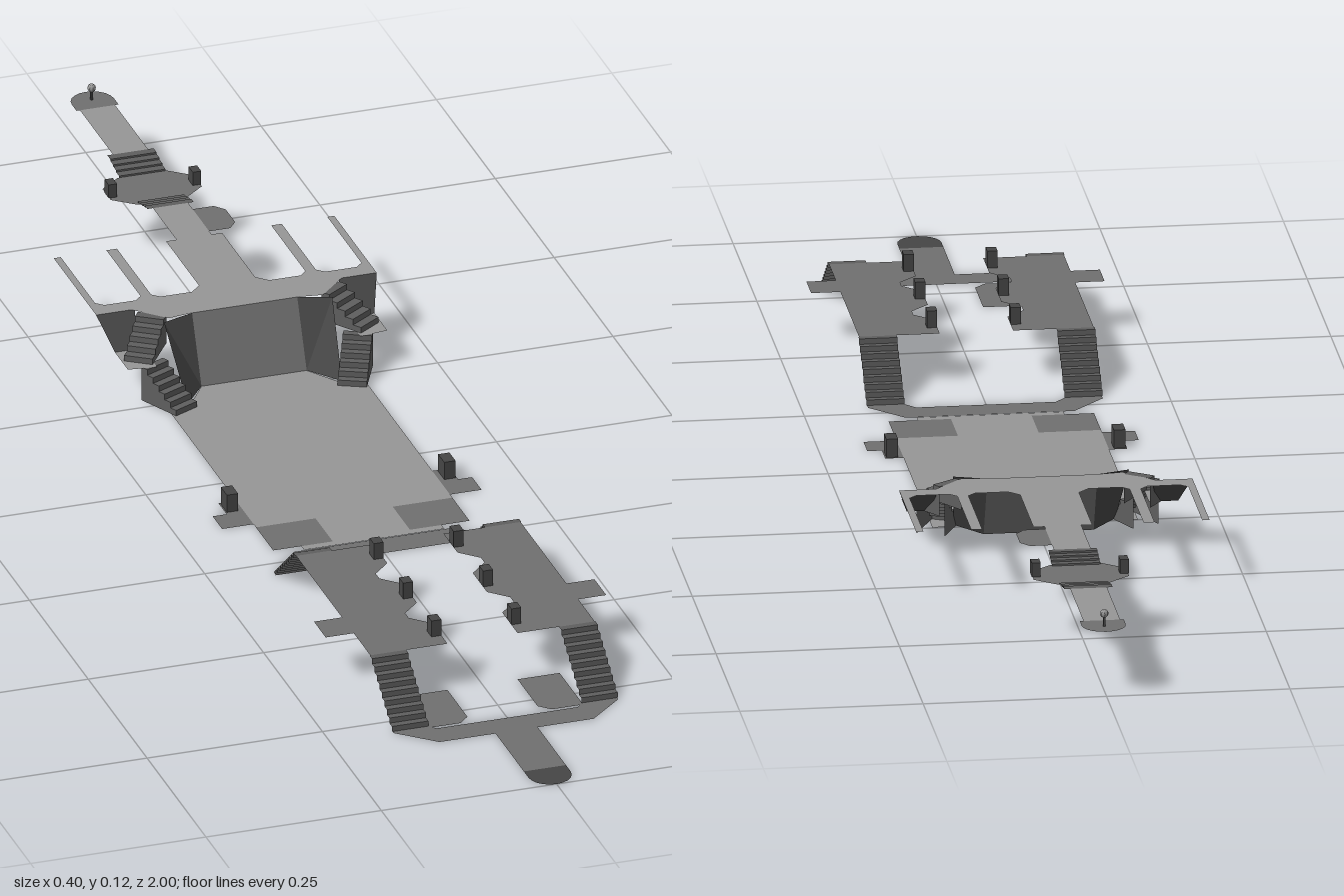
import * as THREE from 'three';

const LOW = 0.03, MID = 0.1, WING = 0.08, TOP = 0.122, DIP = 0.112;

export function createModel() {
  const model = new THREE.Group();
  const paint = color => new THREE.MeshStandardMaterial({ color, flatShading: true, side: THREE.DoubleSide });
  const light = paint(0x969696), mid = paint(0x6f6f6f), step = paint(0x5e5e5e), dark = paint(0x464646);

  const add = (name, mat, geo) => {
    const mesh = new THREE.Mesh(geo, mat);
    mesh.name = name;
    model.add(mesh);
    return mesh;
  };

  // Horizontal sheet from [x, z] outline points
  const sheet = (name, mat, pts, y) => {
    const shape = new THREE.Shape(pts.map(([x, z]) => new THREE.Vector2(x, -z)));
    const geo = new THREE.ShapeGeometry(shape);
    geo.rotateX(-Math.PI / 2);
    geo.translate(0, y, 0);
    return add(name, mat, geo);
  };
  const mirrored = half => [...half, ...half.map(([x, z]) => [-x, z]).reverse()];
  const rect = (x0, x1, z0, z1) => [[x0, z1], [x1, z1], [x1, z0], [x0, z0]];

  // Surface made of four-cornered panels
  const panels = (name, mat, quads) => {
    const pos = [];
    for (const [a, b, c, d] of quads) pos.push(...a, ...b, ...c, ...a, ...c, ...d);
    const geo = new THREE.BufferGeometry();
    geo.setAttribute('position', new THREE.Float32BufferAttribute(pos, 3));
    geo.computeVertexNormals();
    return add(name, mat, geo);
  };

  // Open stair flight climbing from a to b; optional side skirts down to a base height
  const stairs = (name, a, b, halfWidth, steps, base) => {
    const dx = b[0] - a[0], dz = b[2] - a[2], len = Math.hypot(dx, dz);
    const wx = -dz / len * halfWidth, wz = dx / len * halfWidth;
    const at = (t, y, s) => [a[0] + dx * t + s * wx, y, a[2] + dz * t + s * wz];
    const quads = [];
    for (let i = 0; i < steps; i++) {
      const t0 = i / steps, t1 = (i + 1) / steps;
      const y0 = a[1] + (b[1] - a[1]) * t0, y1 = a[1] + (b[1] - a[1]) * t1;
      quads.push([at(t0, y0, -1), at(t0, y0, 1), at(t0, y1, 1), at(t0, y1, -1)]);
      quads.push([at(t0, y1, -1), at(t0, y1, 1), at(t1, y1, 1), at(t1, y1, -1)]);
      if (base !== undefined) for (const s of [-1, 1])
        quads.push([at(t0, base, s), at(t1, base, s), at(t1, y1, s), at(t0, y1, s)]);
    }
    return panels(name, step, quads);
  };

  const box = (name, w, h, d, x, y, z) =>
    add(name, dark, new THREE.BoxGeometry(w, h, d)).position.set(x, y + h / 2, z);

  // Strip with a rounded end
  const roundedStrip = (name, mat, r, zStart, zEnd, y) => {
    const dir = Math.sign(zEnd - zStart), pts = [[-r, zStart]];
    for (let i = 0; i <= 10; i++) {
      const t = Math.PI * i / 10;
      pts.push([-r * Math.cos(t), zEnd - dir * r + dir * r * Math.sin(t)]);
    }
    pts.push([r, zStart]);
    return sheet(name, mat, pts, y);
  };

  // Main deck and the narrow joint to the front ring
  sheet('mainDeck', light, mirrored([
    [0.055, 0.213], [0.055, 0.14], [0.14, 0.14], [0.14, -0.25], [0.105, -0.24], [0.075, -0.285],
  ]), LOW);
  sheet('deckJoint', light, rect(-0.1, 0.1, 0.213, 0.225), LOW);

  // Upper deck with fingers pointing back
  sheet('upperDeck', light, mirrored([
    [0.075, -0.325], [0.11, -0.32], [0.15, -0.36], [0.2, -0.36], [0.2, -0.54], [0.19, -0.54],
    [0.19, -0.395], [0.18, -0.385], [0.135, -0.385], [0.125, -0.395], [0.125, -0.54], [0.11, -0.54],
    [0.11, -0.395], [0.1, -0.385], [0.055, -0.385], [0.04, -0.4], [0.04, -0.54], [0.025, -0.54], [0.025, -0.64],
  ]), TOP);
  panels('centreWall', mid, [[[-0.075, LOW, -0.285], [0.075, LOW, -0.285], [0.075, TOP, -0.325], [-0.075, TOP, -0.325]]]);

  for (const s of [1, -1]) {
    // Walls, stairs and landings between the two decks
    panels('angledWall', dark, [[[s * 0.075, LOW, -0.285], [s * 0.11, LOW, -0.24], [s * 0.12, TOP, -0.31], [s * 0.075, TOP, -0.325]]]);
    panels('wingWall', dark, [[[s * 0.155, WING, -0.325], [s * 0.185, WING, -0.325], [s * 0.2, TOP, -0.36], [s * 0.145, TOP, -0.36]]]);
    sheet('landing', light, [[s * 0.145, -0.325], [s * 0.185, -0.325], [s * 0.185, -0.27], [s * 0.145, -0.265]], WING);
    stairs('lowerStairs', [s * 0.118, LOW, -0.22], [s * 0.147, WING, -0.28], 0.02, 6, LOW);
    stairs('upperStairs', [s * 0.165, WING, -0.285], [s * 0.127, TOP, -0.34], 0.02, 5, WING);

    // Ledges, corner pads and posts around the main deck
    sheet('deckLedge', mid, [[s * 0.14, 0.13], [s * 0.185, 0.13], [s * 0.185, 0.09], [s * 0.165, 0.09], [s * 0.165, 0.055], [s * 0.14, 0.055]], LOW);
    sheet('deckCorner', mid, [[s * 0.055, 0.213], [s * 0.14, 0.213], [s * 0.14, 0.14], [s * 0.055, 0.14]], LOW);
    box('deckPost', 0.016, 0.026, 0.026, s * 0.155, LOW, 0.072);

    // Raised ring platform with notched inner edge
    sheet('ringPlatform', mid, [
      [0.11, 0.37], [0.16, 0.37], [0.16, 0.565], [0.2, 0.565], [0.2, 0.615], [0.16, 0.615], [0.16, 0.685],
      [0.05, 0.685], [0.05, 0.62], [0.075, 0.595], [0.075, 0.58],
      [0.05, 0.555], [0.05, 0.495], [0.075, 0.47], [0.075, 0.455], [0.05, 0.43], [0.05, 0.37],
    ].map(([x, z]) => [s * x, z]), MID);
    stairs('ringBackStairs', [s * 0.135, LOW, 0.285], [s * 0.135, MID, 0.37], 0.026, 9);
    stairs('ringFrontStairs', [s * 0.135, LOW, 0.78], [s * 0.135, MID, 0.685], 0.026, 9);
    for (const z of [0.405, 0.53, 0.65]) box('ringPost', 0.014, 0.024, 0.018, s * 0.057, MID, z);

    // Low pad inside the front of the ring
    sheet('ringPad', mid, [
      [0.11, 0.685], [0.11, 0.785], [0.065, 0.785], [0.05, 0.77], [0.05, 0.685],
    ].map(([x, z]) => [s * x, z]), LOW);

    // Post on the rear platform
    box('rearPost', 0.012, 0.02, 0.018, s * 0.06, DIP, -0.715);
  }

  // Low ends of the ring
  sheet('ringBack', mid, mirrored([[0.115, 0.226], [0.16, 0.275], [0.16, 0.285], [0.11, 0.285], [0.095, 0.268]]), LOW);
  sheet('ringFront', mid, mirrored([[0.11, 0.83], [0.16, 0.785], [0.16, 0.78], [0.11, 0.78], [0.1, 0.79]]), LOW);
  sheet('frontPier', mid, rect(-0.03, 0.03, 0.83, 0.95), LOW);
  roundedStrip('frontPierEnd', dark, 0.03, 0.95, 1, LOW);

  // Rear walkway, its dipped platform and the rounded end
  sheet('sidePad', mid, [[0.025, -0.55], [0.055, -0.55], [0.067, -0.565], [0.067, -0.605], [0.055, -0.62], [0.025, -0.62]], TOP);
  stairs('rearStairs', [0, DIP, -0.68], [0, TOP, -0.64], 0.033, 4);
  sheet('rearPlatform', mid, mirrored([[0.035, -0.675], [0.065, -0.7], [0.065, -0.735], [0.035, -0.76]]), DIP);
  stairs('rearStairs', [0, DIP, -0.76], [0, TOP, -0.81], 0.033, 4);
  sheet('rearWalkway', light, rect(-0.025, 0.025, -0.95, -0.81), TOP);
  roundedStrip('rearEnd', mid, 0.03, -0.95, -1, TOP);

  // Small control stand on the rear end
  box('standPole', 0.003, 0.014, 0.003, 0, TOP, -0.975);
  add('standHead', light, new THREE.SphereGeometry(0.006, 8, 6)).position.set(0, TOP + 0.018, -0.975);

  return model;
}
